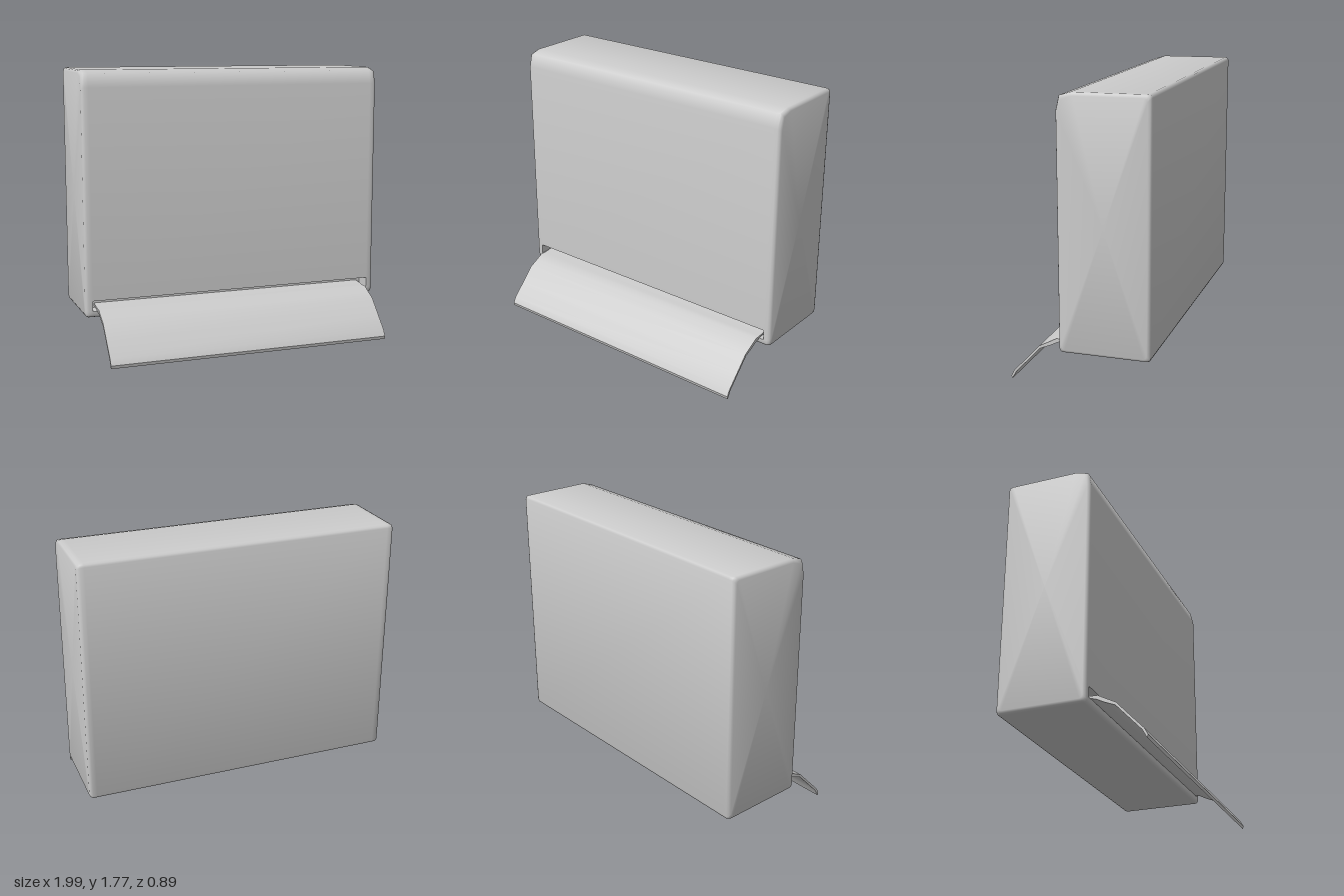
import * as THREE from 'three';
import { toCreasedNormals } from 'three/addons/utils/BufferGeometryUtils.js';

const material = new THREE.MeshStandardMaterial({ color: 0xcccccc });

// Body limits: half width, and centre and half size of the side outline
const HALF_X = 0.995, CZ = -0.1675, CY = 1.0025, HZ = 0.2775, HY = 0.7675;
const SLOT_X = 0.95, SLOT_LOW = 0.275, SLOT_HIGH = 0.34;

// Side outline as [z, y]: up the front, over the top, down the back
function outline(slotDepth) {
  const front = CZ + HZ, inner = front - slotDepth;
  return [
    [0.09, 0.235], [0.104, 0.241], [front, 0.255],
    [front, SLOT_LOW], [inner, SLOT_LOW], [inner, SLOT_HIGH], [front, SLOT_HIGH],
    [front, 1.66], [0.09, 1.745], [0.02, 1.766],
    [-0.425, 1.77], [-0.439, 1.764], [-0.445, 1.75],
    [-0.445, 0.255], [-0.439, 0.241], [-0.425, 0.235],
  ];
}

// Loft of the outline across x, with rounded ends and a slot in the front
function bodyGeometry() {
  const half = [[SLOT_X, 0, 0.1], [SLOT_X, 0, 0], [HALF_X - 0.02, 0, 0],
    [HALF_X - 0.006, 0.006, 0], [HALF_X, 0.02, 0]];
  const stations = [...half.map(([x, i, d]) => [-x, i, d]).reverse(), ...half];
  const rings = stations.map(([x, inset, depth]) => outline(depth).map(([z, y]) =>
    new THREE.Vector3(x, CY + (y - CY) * (1 - inset / HY), CZ + (z - CZ) * (1 - inset / HZ))));

  const positions = [];
  const tri = (a, b, c) => {
    if (new THREE.Triangle(a, b, c).getArea() < 1e-8) return;
    for (const p of [a, b, c]) positions.push(p.x, p.y, p.z);
  };
  const n = rings[0].length;
  for (let s = 0; s < rings.length - 1; s++) {
    for (let i = 0; i < n; i++) {
      const j = (i + 1) % n, a = rings[s], b = rings[s + 1];
      tri(a[i], b[i], b[j]);
      tri(a[i], b[j], a[j]);
    }
  }
  // Flat ends
  const first = rings[0], last = rings[rings.length - 1];
  const left = new THREE.Vector3(HALF_X, CY, CZ), right = new THREE.Vector3(-HALF_X, CY, CZ);
  for (let i = 0; i < n; i++) {
    const j = (i + 1) % n;
    tri(right, first[i], first[j]);
    tri(left, last[j], last[i]);
  }
  const geometry = new THREE.BufferGeometry();
  geometry.setAttribute('position', new THREE.Float32BufferAttribute(positions, 3));
  return toCreasedNormals(geometry, 1.1);
}

// Thin bent sheet: its upper line, then the lower line back into the slot
function flapGeometry() {
  const section = [
    [0.015, 0.305], [0.11, 0.292], [0.15, 0.291], [0.2, 0.264], [0.26, 0.233],
    [0.345, 0.142], [0.425, 0.058], [0.445, 0.02],
    [0.44, 0], [0.412, 0.05], [0.335, 0.132], [0.255, 0.217],
    [0.19, 0.244], [0.145, 0.267], [0.11, 0.278], [0.015, 0.29],
  ];
  const shape = new THREE.Shape(section.map(([z, y]) => new THREE.Vector2(z, y)));
  const geometry = new THREE.ExtrudeGeometry(shape, { depth: 1.845, bevelEnabled: false });
  geometry.translate(0, 0, -1.845 / 2).rotateY(-Math.PI / 2);
  return toCreasedNormals(geometry, 0.7);
}

export function createModel() {
  const model = new THREE.Group();
  model.name = 'slottedCabinet';
  const add = (name, geometry) => {
    const mesh = new THREE.Mesh(geometry, material);
    mesh.name = name;
    model.add(mesh);
  };
  add('body', bodyGeometry());
  add('frontFlap', flapGeometry());
  return model;
}
